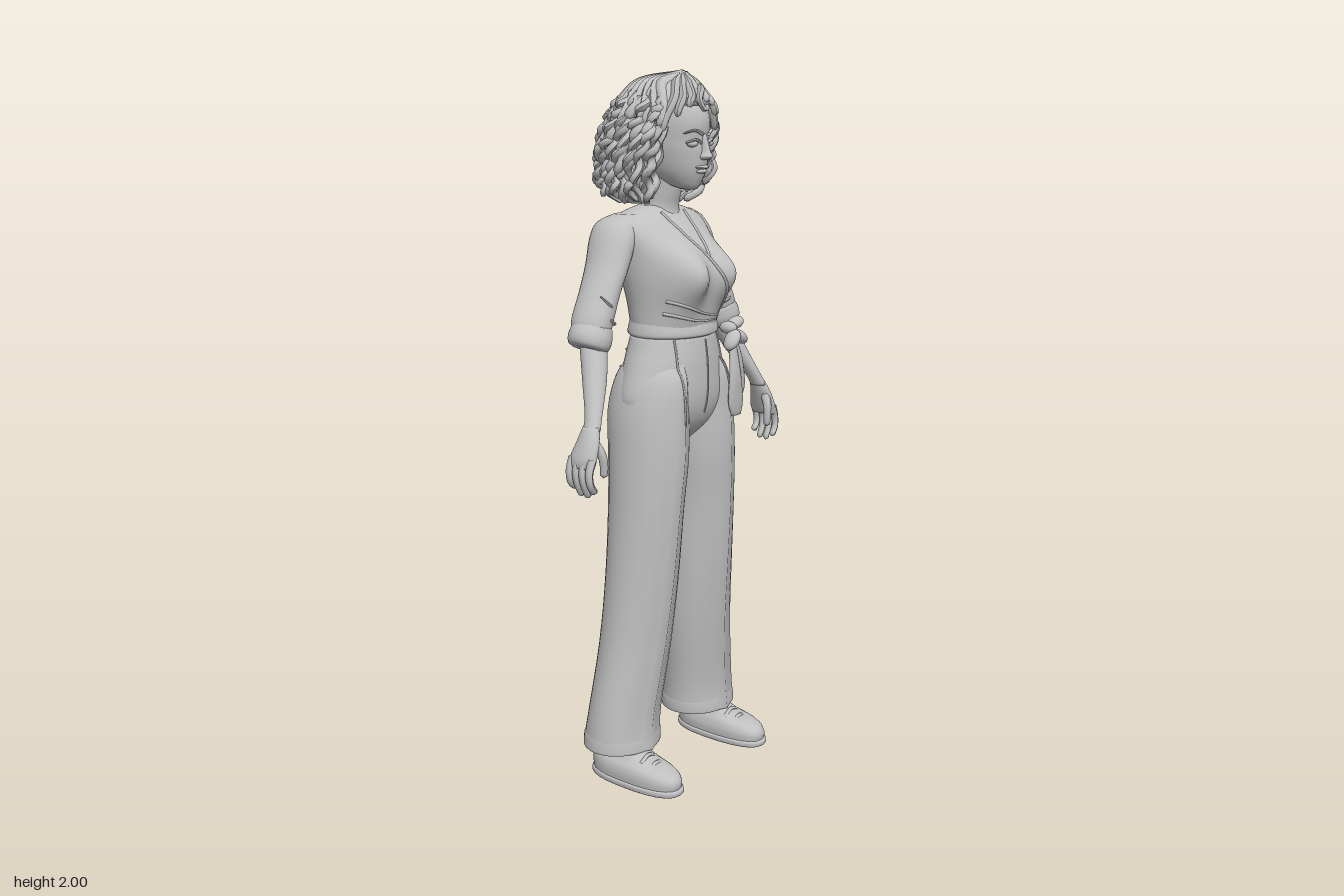
import * as THREE from 'three';

const grey = new THREE.MeshStandardMaterial({ color: 0xc0c0c0, side: THREE.DoubleSide });
grey.name = 'plain grey';

const V = (x, y, z) => new THREE.Vector3(x, y, z);
const bend = (v, p) => Math.sign(v) * Math.abs(v) ** p;

// Smooth skin over horizontal rings [x, y, z, halfWidth, frontDepth, backDepth], listed bottom to top
function loft(rings, { seg = 24, sub = 4, start = 0, arc = Math.PI * 2, caps = true, ridge = 0, round = 1 } = {}) {
  const centres = new THREE.CatmullRomCurve3(rings.map(r => V(r[0], r[1], r[2])), false, 'catmullrom', 0.5);
  const sizes = new THREE.CatmullRomCurve3(rings.map(r => V(r[3], r[4], r[5])), false, 'catmullrom', 0.5);
  const full = arc > 6.28, cols = full ? seg : seg + 1, rows = (rings.length - 1) * sub + 1;
  const pos = [], idx = [];
  for (let i = 0; i < rows; i++) {
    const t = i / (rows - 1), c = centres.getPoint(t), s = sizes.getPoint(t);
    for (let j = 0; j < cols; j++) {
      const a = start + arc * j / seg, cos = bend(Math.cos(a), round), sin = bend(Math.sin(a), round);
      const peak = full && j === 0 ? ridge : 0;
      pos.push(c.x + s.x * sin, c.y, c.z + (cos > 0 ? s.y : s.z) * cos + peak);
    }
  }
  for (let i = 0; i < rows - 1; i++) for (let j = 0; j < seg; j++) {
    const a = i * cols + j, b = i * cols + (j + 1) % cols;
    idx.push(a, b, b + cols, a, b + cols, a + cols);
  }
  if (caps && full) {
    const low = pos.length / 3, top = (rows - 1) * cols;
    const a = centres.getPoint(0), b = centres.getPoint(1);
    pos.push(a.x, a.y, a.z, b.x, b.y, b.z);
    for (let j = 0; j < seg; j++) {
      const k = (j + 1) % seg;
      idx.push(low, k, j, low + 1, top + j, top + k);
    }
  }
  const g = new THREE.BufferGeometry();
  g.setAttribute('position', new THREE.Float32BufferAttribute(pos, 3));
  g.setIndex(idx);
  g.computeVertexNormals();
  return g;
}

// Round strand along points, narrowing towards its end
function strand(points, r, end = 1, steps = 16, sides = 6) {
  const curve = new THREE.CatmullRomCurve3(points);
  const g = new THREE.TubeGeometry(curve, steps, r, sides, false), p = g.attributes.position, v = V(0, 0, 0);
  for (let i = 0; i <= steps; i++) {
    const c = curve.getPointAt(i / steps), t = i / steps;
    const k = t > 0.99 ? 0.05 : 1 + (end - 1) * t;
    for (let j = 0; j <= sides; j++) {
      const n = i * (sides + 1) + j;
      v.fromBufferAttribute(p, n).sub(c).multiplyScalar(k).add(c);
      p.setXYZ(n, v.x, v.y, v.z);
    }
  }
  g.computeVertexNormals();
  return g;
}

// Swell the front of the blouse over the bust, falling softly to the waist
function swellBust(g) {
  const p = g.attributes.position;
  for (let i = 0; i < p.count; i++) {
    const x = p.getX(i), dy = p.getY(i) - 1.462, z = p.getZ(i);
    const front = THREE.MathUtils.smoothstep(z, -0.01, 0.09), h = Math.exp(-((dy / (dy > 0 ? 0.068 : 0.08)) ** 2));
    const w = Math.exp(-(((x - 0.07) / 0.056) ** 2)) + Math.exp(-(((x + 0.07) / 0.056) ** 2));
    p.setZ(i, z + 0.078 * front * h * w);
  }
  g.computeVertexNormals();
  return g;
}

const HAIR = [
  [0, 1.65, -0.045, 0.12, 0.10, 0.12], [0, 1.70, -0.035, 0.165, 0.12, 0.155], [0, 1.78, -0.03, 0.173, 0.14, 0.165],
  [0, 1.85, -0.02, 0.155, 0.15, 0.155], [0, 1.91, -0.005, 0.125, 0.14, 0.145], [0, 1.96, 0.005, 0.085, 0.09, 0.105],
  [0, 1.985, 0.005, 0.04, 0.045, 0.05], [0, 1.992, 0.005, 0.005, 0.005, 0.005]];

// Point on the hair outline at a height and heading (0 faces the front)
function hairPoint(y, a, k) {
  let i = 0;
  while (i < HAIR.length - 2 && y > HAIR[i + 1][1]) i++;
  const t = (y - HAIR[i][1]) / (HAIR[i + 1][1] - HAIR[i][1]);
  const [, , cz, rx, rf, rb] = HAIR[i].map((q, n) => q + (HAIR[i + 1][n] - q) * t);
  return V(k * rx * Math.sin(a), y, cz + k * (Math.cos(a) > 0 ? rf : rb) * Math.cos(a));
}

export function createModel() {
  const model = new THREE.Group();
  model.name = 'standingWoman';
  const add = (name, geo, x = 0, y = 0, z = 0) => {
    const m = new THREE.Mesh(geo, grey);
    m.name = name;
    m.position.set(x, y, z);
    model.add(m);
    return m;
  };
  const ball = (name, x, y, z, sx, sy, sz, turn = 0) => {
    const m = add(name, new THREE.SphereGeometry(1, 18, 12), x, y, z);
    m.scale.set(sx, sy, sz);
    m.rotation.z = turn;
  };

  // Blouse body
  const cloth = [add('blouse', swellBust(loft([
    [0, 1.27, 0.02, 0.128, 0.105, 0.10], [0, 1.32, 0.02, 0.135, 0.115, 0.105], [0, 1.38, 0.015, 0.14, 0.12, 0.11],
    [0, 1.46, 0, 0.152, 0.125, 0.112], [0, 1.52, -0.01, 0.16, 0.125, 0.115], [0, 1.57, -0.02, 0.168, 0.10, 0.107],
    [0, 1.605, -0.03, 0.16, 0.075, 0.092], [0, 1.626, -0.035, 0.115, 0.06, 0.072], [0, 1.642, -0.03, 0.055, 0.045, 0.05]],
    { seg: 48, sub: 6 })))];
  // Hips and seat of the trousers
  cloth.push(add('trouserHips', loft([
    [0, 0.985, 0.02, 0.05, 0.05, 0.04], [0, 1.04, 0.02, 0.15, 0.10, 0.085], [0, 1.11, 0.02, 0.195, 0.122, 0.115],
    [0, 1.20, 0.02, 0.17, 0.122, 0.112], [0, 1.25, 0.02, 0.15, 0.118, 0.108], [0, 1.29, 0.02, 0.135, 0.112, 0.102]], { seg: 36 })));
  add('blouseHem', loft([[0, 1.288, 0.02, 0.134, 0.113, 0.103], [0, 1.294, 0.02, 0.141, 0.122, 0.112],
    [0, 1.31, 0.02, 0.14, 0.121, 0.111], [0, 1.335, 0.02, 0.134, 0.113, 0.105]], { seg: 36 }));

  for (const s of [1, -1]) {
    const side = s > 0 ? 'left' : 'right';
    const flip = rings => rings.map(([x, ...rest]) => [x * s, ...rest]);
    const path = pts => pts.map(([x, y, z]) => V(x * s, y, z));

    // Wide trouser leg with a pressed front crease
    cloth.push(add(side + 'TrouserLeg', loft(flip([
      [0.18, 0.10, -0.02, 0.12, 0.103, 0.11], [0.172, 0.20, -0.015, 0.117, 0.095, 0.10], [0.143, 0.40, 0, 0.112, 0.098, 0.10],
      [0.128, 0.60, 0.01, 0.107, 0.108, 0.10], [0.119, 0.80, 0.02, 0.102, 0.113, 0.11], [0.108, 0.95, 0.02, 0.105, 0.122, 0.117],
      [0.102, 1.08, 0.02, 0.099, 0.12, 0.128], [0.09, 1.17, 0.02, 0.087, 0.115, 0.112], [0.08, 1.22, 0.02, 0.065, 0.095, 0.085]]),
      { seg: 28, caps: false, ridge: 0.011 })));
    add(side + 'TrouserHem', loft(flip([[0.18, 0.11, -0.02, 0.112, 0.095, 0.102], [0.18, 0.099, -0.02, 0.12, 0.104, 0.11],
      [0.178, 0.13, -0.02, 0.12, 0.102, 0.107], [0.177, 0.15, -0.018, 0.115, 0.095, 0.101]]), { seg: 28, caps: false }));

    // Shoe, sole and laces
    add(side + 'Ankle', loft(flip([[0.19, 0.06, -0.03, 0.04, 0.05, 0.055], [0.185, 0.30, -0.02, 0.042, 0.045, 0.05]])));
    add(side + 'Shoe', loft(flip([[0.203, 0.015, 0.03, 0.061, 0.177, 0.127], [0.203, 0.042, 0.03, 0.063, 0.178, 0.127],
      [0.203, 0.064, 0.025, 0.058, 0.158, 0.124], [0.2, 0.083, 0.005, 0.048, 0.105, 0.10], [0.194, 0.12, -0.02, 0.042, 0.06, 0.075]]),
      { round: 0.82 }));
    add(side + 'Sole', loft(flip([[0.203, 0, 0.03, 0.06, 0.175, 0.127], [0.203, 0.005, 0.03, 0.065, 0.184, 0.131],
      [0.203, 0.017, 0.03, 0.066, 0.185, 0.131], [0.203, 0.021, 0.03, 0.06, 0.177, 0.125]]), { round: 0.82 }));
    for (const [y, z] of [[0.076, 0.125], [0.09, 0.095]])
      add(side + 'Lace', strand(path([[0.165, y - 0.014, z], [0.2, y + 0.002, z], [0.237, y - 0.014, z]]), 0.006));

    // Sleeve with gathered cuff
    add(side + 'Sleeve', loft(flip([[0.28, 1.32, -0.035, 0.05, 0.058, 0.058], [0.268, 1.36, -0.037, 0.053, 0.062, 0.06],
      [0.238, 1.42, -0.04, 0.05, 0.062, 0.06], [0.198, 1.49, -0.045, 0.049, 0.066, 0.068], [0.165, 1.56, -0.05, 0.052, 0.068, 0.076],
      [0.14, 1.60, -0.05, 0.05, 0.055, 0.07], [0.115, 1.622, -0.045, 0.03, 0.035, 0.04]])));
    const cuff = add(side + 'Cuff', loft([[0, -0.03, 0, 0.038, 0.045, 0.043], [0, -0.022, 0, 0.052, 0.06, 0.056],
      [0, 0.002, 0, 0.058, 0.064, 0.06], [0, 0.035, 0, 0.05, 0.057, 0.056]]), 0.287 * s, 1.303, -0.033);
    cuff.rotation.z = 0.42 * s;
    for (const [y, r] of [[1.37, 0.006], [1.41, 0.005]])
      add(side + 'SleeveFold', strand(path([[0.235, y - 0.03, 0.01], [0.265, y - 0.015, 0.022], [0.285, y + 0.01, 0.004]]), r, 0.4));

    // Forearm and hand
    add(side + 'Forearm', loft(flip([[0.378, 1.08, 0.052, 0.02, 0.026, 0.026], [0.36, 1.115, 0.043, 0.021, 0.025, 0.025],
      [0.315, 1.20, 0.008, 0.032, 0.034, 0.034], [0.275, 1.30, -0.03, 0.037, 0.04, 0.04]])));
    add(side + 'Palm', loft(flip([[0.414, 0.985, 0.05, 0.015, 0.04, 0.042], [0.408, 1.01, 0.05, 0.02, 0.043, 0.045],
      [0.393, 1.05, 0.052, 0.021, 0.036, 0.036], [0.376, 1.09, 0.05, 0.019, 0.025, 0.025]])));
    [0.925, 0.905, 0.903, 0.918].forEach((tip, i) => {
      const z = 0.014 + i * 0.023;
      add(side + 'Finger', strand(path([[0.411, 1.01, z], [0.424, 0.975, z], [0.422, 0.945, z + 0.002], [0.403, tip, z + 0.003]]), 0.0125, 0.75));
    });
    add(side + 'Thumb', strand(path([[0.388, 1.05, 0.07], [0.378, 1.02, 0.086], [0.373, 0.985, 0.09], [0.374, 0.955, 0.088]]), 0.014, 0.7));

    // Eye, brow and ear
    ball(side + 'Eye', 0.034 * s, 1.81, 0.116, 0.019, 0.009, 0.012);
    add(side + 'EyeLid', strand(path([[0.014, 1.812, 0.131], [0.034, 1.821, 0.129], [0.056, 1.812, 0.11]]), 0.004));
    add(side + 'Brow', strand(path([[0.012, 1.835, 0.135], [0.036, 1.845, 0.127], [0.06, 1.837, 0.105]]), 0.005, 0.5));
    ball(side + 'Ear', 0.084 * s, 1.79, -0.005, 0.01, 0.03, 0.02);
  }

  // Seams and folds laid onto the clothes
  model.updateMatrixWorld(true);
  const ray = new THREE.Raycaster();
  const drape = (name, pts, r, dir = -1, end = 1) => {
    const guide = new THREE.CatmullRomCurve3(pts.map(([x, y]) => V(x, y, 0))), out = [];
    for (const p of guide.getPoints(18)) {
      ray.set(V(p.x, p.y, -dir), V(0, 0, dir));
      const hit = ray.intersectObjects(cloth)[0];
      if (hit) out.push(hit.point.add(V(0, 0, -dir * 0.001)));
    }
    if (out.length > 2) add(name, strand(out, r, end, 36));
  };
  drape('wrapEdge', [[-0.05, 1.625], [-0.025, 1.56], [0.01, 1.50], [0.06, 1.40], [0.115, 1.325]], 0.004);
  drape('underEdge', [[0.05, 1.625], [0.03, 1.56], [0.008, 1.505]], 0.004);
  [[-0.12, 1.395, 0.09, 1.335], [-0.12, 1.36, 0.06, 1.33]].forEach(([a, b, c, d]) =>
    drape('blouseFold', [[a, b], [(a + c) / 2, (b + d) / 2 - 0.01], [c, d]], 0.005, -1, 0.4));
  drape('flySeam', [[0.005, 1.28], [0.006, 1.17], [0, 1.07]], 0.0025);
  for (const s of [1, -1]) {
    drape('frontPleat', [[0.094 * s, 1.285], [0.1 * s, 1.18], [0.104 * s, 1.05]], 0.003);
    drape('backPocket', [[0.045 * s, 1.195], [0.08 * s, 1.19], [0.115 * s, 1.195]], 0.004, 1);
    drape('backWaistSeam', [[0.002 * s, 1.24], [0.06 * s, 1.242], [0.12 * s, 1.247]], 0.003, 1);
  }

  // Side bow: knot, two loops and two tails
  ball('bowKnot', 0.123, 1.295, 0.125, 0.018, 0.018, 0.028);
  ball('bowLoop', 0.155, 1.305, 0.125, 0.03, 0.017, 0.022, 0.3);
  ball('bowLoop', 0.108, 1.265, 0.15, 0.034, 0.017, 0.024, 0.9);
  ball('bowLoop', 0.15, 1.268, 0.145, 0.03, 0.016, 0.022, -0.7);
  add('longTail', loft([[0.128, 1.045, 0.152, 0.022, 0.006, 0.006], [0.122, 1.09, 0.154, 0.034, 0.009, 0.009],
    [0.117, 1.18, 0.154, 0.022, 0.01, 0.01], [0.12, 1.285, 0.138, 0.01, 0.008, 0.008]], { seg: 12 }));
  add('shortTail', loft([[0.165, 1.09, 0.135, 0.012, 0.006, 0.006], [0.158, 1.13, 0.142, 0.022, 0.009, 0.009],
    [0.143, 1.21, 0.145, 0.016, 0.01, 0.01], [0.124, 1.285, 0.135, 0.009, 0.008, 0.008]], { seg: 12 }));

  // Neck, head and face
  add('neck', loft([[0, 1.57, -0.025, 0.08, 0.07, 0.06], [0, 1.63, -0.02, 0.052, 0.05, 0.05], [0, 1.68, -0.005, 0.045, 0.045, 0.05],
    [0, 1.76, 0.005, 0.046, 0.05, 0.055]]));
  add('head', loft([[0, 1.688, 0.08, 0.018, 0.022, 0.03], [0, 1.703, 0.055, 0.038, 0.058, 0.05], [0, 1.74, 0.02, 0.063, 0.108, 0.08],
    [0, 1.79, 0, 0.079, 0.133, 0.11], [0, 1.82, 0, 0.083, 0.131, 0.125], [0, 1.87, 0, 0.085, 0.135, 0.135],
    [0, 1.92, 0, 0.077, 0.115, 0.12], [0, 1.955, 0, 0.05, 0.07, 0.08]], { seg: 28 }));
  add('nose', loft([[0, 1.767, 0.125, 0.012, 0.015, 0.01], [0, 1.776, 0.125, 0.018, 0.032, 0.01], [0, 1.79, 0.125, 0.012, 0.025, 0.01],
    [0, 1.835, 0.125, 0.008, 0.01, 0.01]], { seg: 14 }));
  ball('upperLip', 0, 1.748, 0.121, 0.026, 0.006, 0.016);
  ball('lowerLip', 0, 1.737, 0.118, 0.022, 0.007, 0.016);

  // Hair mass, open around the face
  const inner = HAIR.map(([x, y, z, ...r]) => [x, y, z, ...r.map(q => q * 0.9)]);
  add('hairMass', loft(inner.slice(0, 5), { seg: 28, start: 0.9, arc: Math.PI * 2 - 1.8 }));
  add('hairCrown', loft(HAIR.slice(4).map(([x, y, z, a, b, c]) => [x, y, z, a * 0.97, b * 0.95, c * 0.97]), { seg: 28 }));

  // Spiral curls falling from the crown in layers
  let seed = 7;
  const rand = () => (seed = (seed * 16807) % 2147483647) / 2147483647;
  const curl = (a, top, low, k, turns, width, r) => {
    const pts = [], phase = rand() * 6.28, flare = rand() * 0.1 - 0.04;
    for (let i = 0; i <= 16; i++) {
      const t = i / 16, w = width * Math.min(1, t * 2), q = phase + t * turns * 6.28;
      const p = hairPoint(top + (low - top) * t, a + w * Math.cos(q) * 6, k + flare * t);
      p.x += Math.sin(a) * w * Math.sin(q);
      p.z += Math.cos(a) * w * Math.sin(q);
      pts.push(p);
    }
    add('curl', strand(pts, r, 0.75, 28, 5));
  };
  const layers = [[1.955, 1.83, 0.96, 17, 1.05], [1.93, 1.75, 0.97, 21, 0.95], [1.88, 1.69, 0.97, 24, 0.9],
    [1.82, 1.64, 0.96, 24, 0.9], [1.88, 1.665, 0.8, 20, 0.75]];
  for (const [top, low, k, n, gap] of layers) for (let i = 0; i < n; i++) {
    const a = gap + (Math.PI * 2 - gap * 2) * (i + rand() * 0.7) / (n - 0.3);
    curl(a, top - rand() * 0.03, low + rand() * 0.05, k, 1.6 + rand() * 1.3, 0.012, 0.0135);
  }
  // Smooth locks spread from a side parting over the crown, framing the forehead
  const lock = (a, low, r) => {
    const root = hairPoint(1.984, 0.5, 0.9), shift = 0.25 * Math.cos(a / 2);
    add('crownLock', strand([root, hairPoint(1.965, a + shift, 0.92), hairPoint(1.93, a + shift / 2, 0.96),
      hairPoint((1.93 + low) / 2, a, 0.98), hairPoint(low, a, 1)], r, 0.6, 18));
  };
  for (let i = 0; i < 22; i++) lock(0.95 + 4.4 * i / 21, 1.85 + rand() * 0.03, 0.019);
  for (const [a, low] of [[-0.85, 1.84], [-0.65, 1.88], [-0.4, 1.905], [-0.15, 1.915], [0.2, 1.92], [0.45, 1.91], [0.65, 1.88], [0.85, 1.84]])
    lock(a, low, 0.016);
  // Loose curl over the forehead
  add('foreheadCurl', strand([V(0.03, 1.955, 0.09), V(-0.01, 1.945, 0.125), V(-0.035, 1.925, 0.14), V(-0.02, 1.9, 0.145), V(0, 1.912, 0.142)], 0.012, 0.6));
  return model;
}
